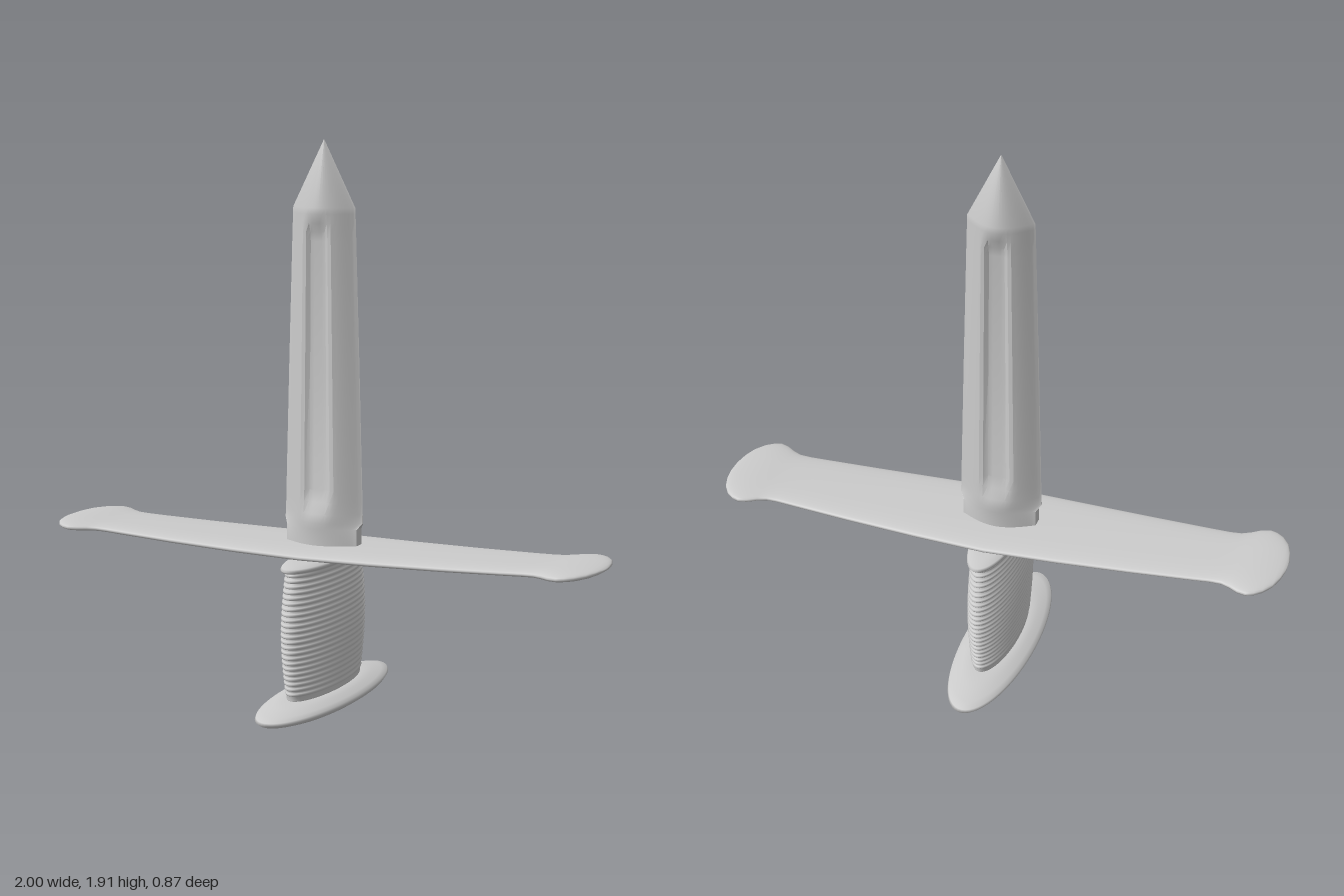
import * as THREE from 'three';
import { toCreasedNormals } from 'three/addons/utils/BufferGeometryUtils.js';

const material = new THREE.MeshStandardMaterial({ color: 0xcccccc, side: THREE.DoubleSide });

function addMesh(group, name, geometry) {
  const mesh = new THREE.Mesh(geometry, material);
  mesh.name = name;
  group.add(mesh);
  return mesh;
}

// Skin a series of equal-length closed rings of Vector3
function loft(rings) {
  const n = rings[0].length;
  const index = [];
  for (let i = 0; i < rings.length - 1; i++) {
    for (let j = 0; j < n; j++) {
      const a = i * n + j, b = i * n + (j + 1) % n;
      index.push(a, a + n, b, b, a + n, b + n);
    }
  }
  const geometry = new THREE.BufferGeometry().setFromPoints(rings.flat());
  geometry.setIndex(index);
  geometry.computeVertexNormals();
  return geometry;
}

// Lens-shaped blade section with a hollow (fuller) down the middle
function bladeRing([y, width, thick, fuller, edge]) {
  const steps = 28, ring = [];
  const depth = (u) => {
    const lens = edge + (thick - edge) * Math.pow(Math.max(0, 1 - u * u), 1.2);
    const hollow = fuller * (1 - THREE.MathUtils.smoothstep(Math.abs(u), 0.15, 0.42));
    return lens - hollow;
  };
  for (let k = 0; k <= steps; k++) {
    const u = Math.cos(Math.PI * k / steps);
    ring.push(new THREE.Vector3(u * width, y, depth(u)));
  }
  for (let k = steps; k >= 0; k--) {
    const u = Math.cos(Math.PI * k / steps);
    ring.push(new THREE.Vector3(u * width, y, -depth(u)));
  }
  return ring;
}

function bladeGeometry() {
  // y, half width, half thickness, fuller depth, edge half thickness
  const rows = [
    [0.54, 0.13, 0.066, 0, 0.02],
    [0.62, 0.13, 0.066, 0, 0.02],
    [0.64, 0.145, 0.07, 0, 0.002],
    [0.67, 0.144, 0.07, 0.004, 0],
    [0.71, 0.143, 0.07, 0.016, 0],
    [0.75, 0.142, 0.07, 0.024, 0],
    [1.15, 0.131, 0.07, 0.025, 0],
    [1.58, 0.118, 0.07, 0.025, 0],
    [1.61, 0.117, 0.07, 0.02, 0],
    [1.64, 0.116, 0.07, 0.008, 0],
    [1.67, 0.115, 0.07, 0, 0],
    [1.69, 0.114, 0.07, 0, 0],
    [1.91, 0.001, 0.001, 0, 0],
  ];
  return toCreasedNormals(loft(rows.map(bladeRing)), 0.45);
}

// Flat, slightly upswept crossguard with flared rounded ends
function guardGeometry() {
  // x, half depth in z, half thickness
  const half = [
    [0, 0.2, 0.018], [0.25, 0.187, 0.018], [0.5, 0.171, 0.017], [0.7, 0.157, 0.016],
    [0.77, 0.152, 0.016], [0.81, 0.154, 0.016], [0.84, 0.168, 0.017], [0.87, 0.188, 0.018],
    [0.9, 0.197, 0.018], [0.925, 0.188, 0.017], [0.95, 0.168, 0.015], [0.975, 0.13, 0.012],
    [0.99, 0.085, 0.008], [0.998, 0.04, 0.004], [1, 0, 0],
  ];
  const stations = [
    ...half.slice(1).reverse().map(([x, d, t]) => [-x, d, t]),
    ...half,
  ];
  const n = 32;
  const power = (v, p) => Math.sign(v) * Math.pow(Math.abs(v), p);
  return loft(stations.map(([x, d, t]) => Array.from({ length: n }, (_, k) => {
    const a = k / n * Math.PI * 2;
    return new THREE.Vector3(
      x,
      0.546 + 0.024 * x * x + t * power(Math.cos(a), 0.8),
      -d * power(Math.sin(a), 0.7)
    );
  })));
}

// Oval solid: a lathe around y squeezed in x
function ovalLathe(points, squeeze, segments = 64) {
  const geometry = new THREE.LatheGeometry(points.map(([r, y]) => new THREE.Vector2(r, y)), segments);
  geometry.scale(squeeze, 1, 1);
  return geometry;
}

// Barrel-shaped grip wound with wire
function gripGeometry() {
  const turns = 23, bottom = 0.085, top = 0.505;
  const pitch = (top - bottom) / turns;
  const points = [[0, 0.06], [0.235, 0.06], [0.245, 0.075]];
  for (let i = 0; i < turns; i++) {
    const t = (i + 0.5) / turns;
    const r = 0.252 + 0.028 * Math.sin(Math.PI * t);
    const y = bottom + i * pitch;
    points.push([r - 0.018, y], [r - 0.004, y + pitch * 0.25],
      [r, y + pitch * 0.5], [r - 0.004, y + pitch * 0.75]);
  }
  points.push([0.245, top], [0.272, 0.508], [0.28, 0.515], [0.272, 0.522], [0.2, 0.53], [0, 0.532]);
  return ovalLathe(points, 0.285);
}

export function createModel() {
  const group = new THREE.Group();
  group.name = 'dagger';

  addMesh(group, 'blade', bladeGeometry());
  addMesh(group, 'crossguard', guardGeometry());
  addMesh(group, 'grip', gripGeometry());

  // Wide oval pommel disc
  addMesh(group, 'pommel', ovalLathe([
    [0, 0], [0.15, 0.003], [0.28, 0.01], [0.37, 0.018], [0.42, 0.028], [0.437, 0.038],
    [0.43, 0.046], [0.39, 0.054], [0.32, 0.063], [0.25, 0.07], [0, 0.072],
  ], 0.3));

  return group;
}
